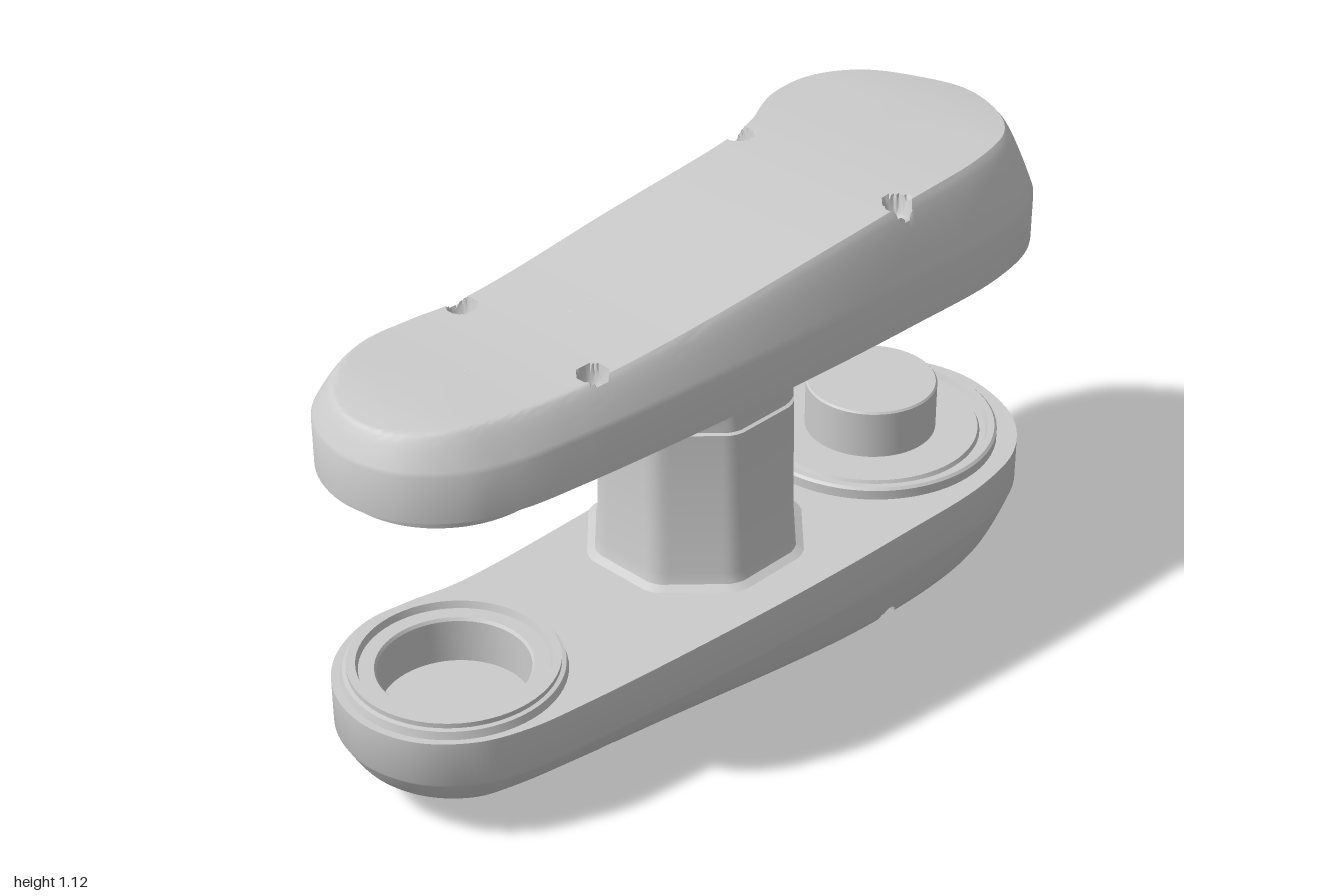
import * as THREE from 'three';
import { toCreasedNormals } from 'three/addons/utils/BufferGeometryUtils.js';

const material = new THREE.MeshStandardMaterial({ color: 0xcccccc });
const UPPER_DECK = 0.84, LOWER_DECK = 0.28;
const PIN_Z = -0.64, SOCKET_Z = 0.73, POST_Z = -0.025;

// Arm plan: outer edge x, z and the matching top-face edge x, z
const PLAN = [
  [0, -1, 0, -0.94], [0.2, -0.94, 0.14, -0.89], [0.31, -0.82, 0.235, -0.8],
  [0.355, -0.65, 0.28, -0.65], [0.357, -0.35, 0.295, -0.33], [0.345, 0, 0.285, 0],
  [0.32, 0.35, 0.262, 0.35], [0.295, 0.6, 0.24, 0.58], [0.27, 0.76, 0.21, 0.75],
  [0.225, 0.87, 0.175, 0.85], [0.13, 0.963, 0.1, 0.925], [0, 0.998, 0, 0.955],
  [-0.13, 0.965, -0.1, 0.93], [-0.225, 0.88, -0.175, 0.855], [-0.275, 0.75, -0.22, 0.74],
  [-0.265, 0.63, -0.215, 0.62], [-0.24, 0.5, -0.195, 0.5], [-0.24, 0.1, -0.198, 0.1],
  [-0.255, -0.3, -0.2, -0.3], [-0.28, -0.44, -0.22, -0.43], [-0.345, -0.58, -0.28, -0.57],
  [-0.355, -0.7, -0.285, -0.7], [-0.3, -0.85, -0.22, -0.83], [-0.18, -0.95, -0.12, -0.9],
];
const DIMPLES = [[-0.2, -0.375], [0.28, -0.375], [-0.175, 0.51], [0.225, 0.51]];
const DIMPLE_R = 0.033, DIMPLE_DEPTH = 0.06, WALL = 0.11;

function mesh(name, geometry) {
  const m = new THREE.Mesh(geometry, material);
  m.name = name;
  return m;
}

function lathe(name, points, segments = 64) {
  const g = new THREE.LatheGeometry(points.map(p => new THREE.Vector2(...p)), segments);
  return mesh(name, toCreasedNormals(g, 0.5));
}

function loopCurve(k) {
  return new THREE.CatmullRomCurve3(PLAN.map(p => new THREE.Vector3(p[k], 0, p[k + 1])), true);
}

// Thickness of the arm along its length
function thickness(z) {
  return 0.19 + 0.09 * THREE.MathUtils.smoothstep(-z, -0.7, 0.55)
    - 0.5 * Math.max(0, z - 0.8) ** 2 - 0.3 * Math.max(0, -z - 0.7) ** 2;
}

// Paired edge samples, denser beside the dimples
function sampleEdges() {
  const outer = loopCurve(0), inner = loopCurve(2), samples = [], n = 2000;
  for (let i = 0; i < n; i++) {
    const b = inner.getPoint(i / n);
    const near = DIMPLES.some(([x, z]) => Math.hypot(b.x - x, b.z - z) < 0.06);
    if (i % 10 === 0 || (near && i % 2 === 0)) samples.push([outer.getPoint(i / n), b]);
  }
  return samples;
}

// Wall, bevel and top face, built as loops from the deck edge inwards
function armShell(samples, up) {
  const rings = [[0, 0, true]];
  for (let i = 0; i <= 10; i++) rings.push([i / 10, 0]);
  for (let i = 1; i <= 11; i++) rings.push([1, i * 0.028]);
  rings.push([1, 0.6], [1, 1]);

  const pos = [], index = [], n = samples.length;
  for (const [t, s, base] of rings) {
    for (const [a, b] of samples) {
      const p = a.clone().lerp(b, t);
      p.lerp(new THREE.Vector3(0.02, 0, THREE.MathUtils.clamp(b.z, -0.6, 0.7)), s);
      const h = thickness(p.z);
      let y = base ? 0 : WALL + (h - WALL) * (1 - (1 - t) ** 1.3);
      for (const [x, z] of DIMPLES) {
        const d = Math.hypot(p.x - x, p.z - z) / DIMPLE_R;
        if (d < 1 && !base) y = Math.min(y, h - DIMPLE_DEPTH * Math.sqrt(1 - d * d));
      }
      pos.push(p.x, up ? UPPER_DECK + y : LOWER_DECK - y, p.z);
    }
  }
  for (let j = 0; j < rings.length - 1; j++) {
    for (let i = 0; i < n; i++) {
      const a = j * n + i, b = j * n + (i + 1) % n, c = a + n, d = b + n;
      if (up) index.push(a, c, b, b, c, d);
      else index.push(a, b, c, b, d, c);
    }
  }
  const g = new THREE.BufferGeometry();
  g.setAttribute('position', new THREE.Float32BufferAttribute(pos, 3));
  g.setIndex(index);
  return toCreasedNormals(g, 0.65);
}

// Flat face towards the other arm, pierced for the socket
function armDeck(samples, up) {
  const k = up ? 1 : -1;
  const shape = new THREE.Shape(samples.map(([a]) => new THREE.Vector2(a.x, k * a.z)));
  shape.holes.push(new THREE.Path().absarc(0, k * SOCKET_Z, 0.2, 0, Math.PI * 2));
  const g = new THREE.ShapeGeometry(shape, 32);
  g.rotateX(k * Math.PI / 2);
  g.translate(0, up ? UPPER_DECK : LOWER_DECK, 0);
  return g;
}

function arm(up, samples) {
  const group = new THREE.Group();
  group.name = up ? 'upperArm' : 'lowerArm';
  group.add(mesh('armShell', armShell(samples, up)), mesh('armDeck', armDeck(samples, up)));

  // Place a round part on the deck, pointing at the other arm
  const onDeck = (part, z) => {
    part.position.set(0, up ? UPPER_DECK : LOWER_DECK, z);
    if (up) part.rotation.x = Math.PI;
    group.add(part);
  };

  const lip = up
    ? [[0.24, 0], [0.235, 0.03], [0.225, 0.034], [0.175, 0.034]]
    : [[0.25, 0], [0.245, 0.018], [0.235, 0.02], [0.235, 0.032], [0.215, 0.032],
      [0.21, 0.015], [0.175, 0.015]];
  onDeck(lathe('socketCollar', [...lip, [0.17, 0.008], [0.17, -0.1], [0, -0.1]]), SOCKET_Z);

  if (!up) {
    onDeck(lathe('pinFlange', [[0.31, 0], [0.31, 0.024], [0.304, 0.03], [0.288, 0.03],
      [0.283, 0.014], [0.268, 0.014], [0.263, 0.024], [0, 0.024]]), PIN_Z);
  }
  onDeck(lathe('pin', [[0.16, 0], [0.16, 0.143], [0.156, 0.148], [0, 0.148]]), PIN_Z);
  return group;
}

// Softly rounded octagonal post with flared ends and a seam
function post() {
  const profile = [[0.25, 0.279], [0.23, 0.29], [0.223, 0.315], [0.219, 0.68], [0.211, 0.683],
    [0.211, 0.688], [0.217, 0.691], [0.217, 0.8], [0.224, 0.825], [0.25, 0.841]];
  const g = new THREE.LatheGeometry(profile.map(p => new THREE.Vector2(...p)), 96);
  const p = g.attributes.position, step = Math.PI / 4;
  for (let i = 0; i < p.count; i++) {
    const x = p.getX(i), z = p.getZ(i), angle = Math.atan2(z, x);
    const k = Math.min(1 / Math.cos(angle - Math.round(angle / step) * step), 1.06);
    p.setXYZ(i, x * k, p.getY(i), z * k * 1.02);
  }
  const m = mesh('post', toCreasedNormals(g, 0.6));
  m.position.z = POST_Z;
  return m;
}

export function createModel() {
  const model = new THREE.Group();
  model.name = 'twinArmLink';
  const samples = sampleEdges();
  model.add(arm(true, samples), arm(false, samples), post());
  return model;
}
